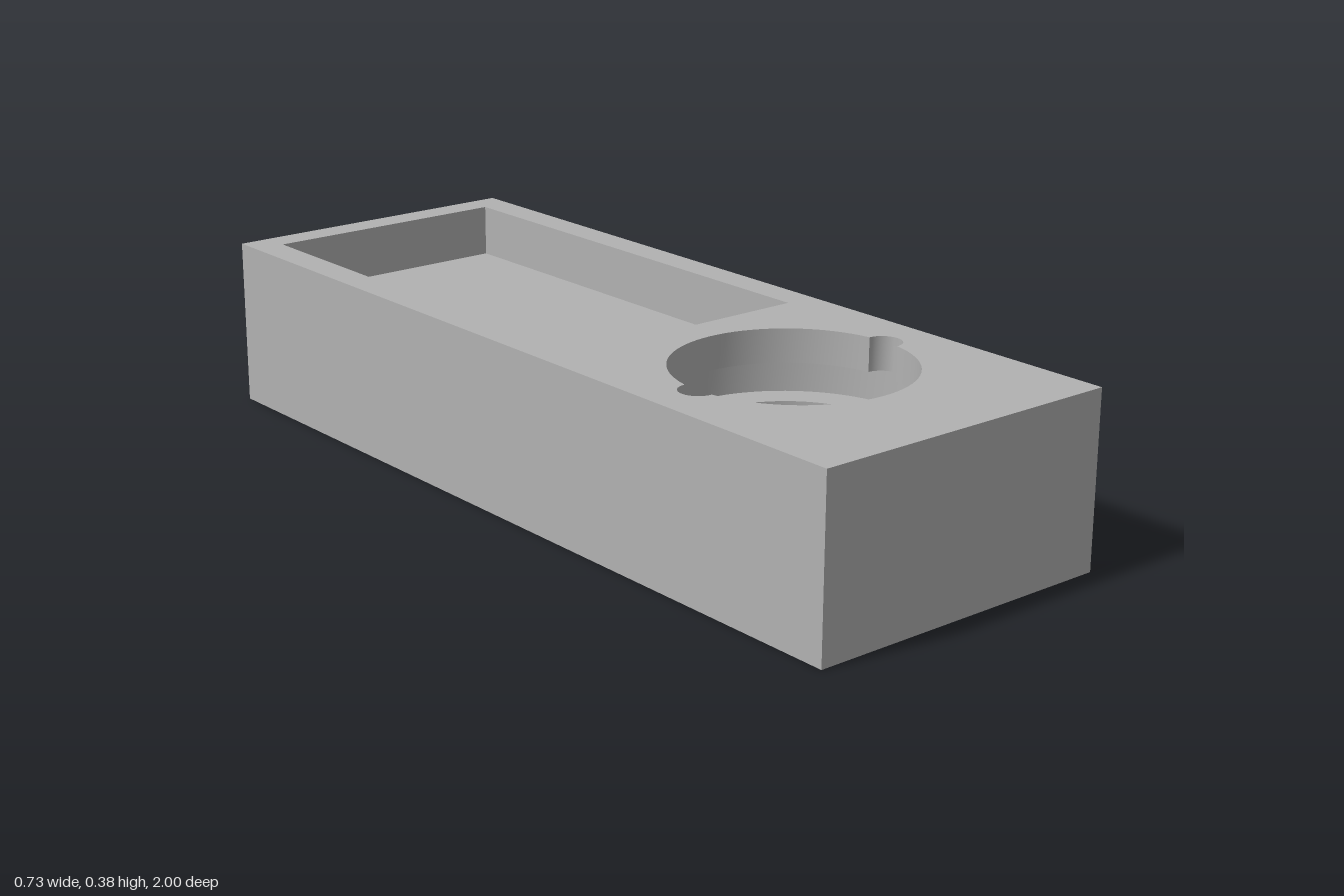
import * as THREE from 'three';
import { mergeGeometries, toCreasedNormals } from 'three/addons/utils/BufferGeometryUtils.js';

// Overall sizes. Plan outlines use (x, s) with s = -z, listed counter-clockwise.
const W = 0.365, L = 1, H = 0.385;
const IN_W = 0.305, IN_L = 0.95;                       // underside cavity
const CEILING = 0.15, LEDGE = 0.235, FLOOR = 0.265, LIP = 0.31;
const HOLE_S = -0.52, R_HOLE = 0.2235, R_LIP = 0.253, R_GROOVE = 0.291, R_TUBE = 0.286;
const VENTS = [0.797, 0.858, 0.918], VENT_W = 0.032, VENT_H = 0.04;

const pts = list => list.map(([x, y]) => new THREE.Vector2(x, y));
const rect = (x0, s0, x1, s1) => pts([[x0, s0], [x1, s0], [x1, s1], [x0, s1]]);
const reversed = p => [...p].reverse();

function circle(r, n = 72) {
  return Array.from({ length: n }, (_, i) => {
    const a = (i / n) * Math.PI * 2;
    return new THREE.Vector2(r * Math.cos(a), HOLE_S + r * Math.sin(a));
  });
}

// Circle with a round notch at each side
function keyhole() {
  const r = 0.04, cx = 0.251;
  const cut = Math.acos((R_LIP * R_LIP + cx * cx - r * r) / (2 * R_LIP * cx));
  const notch = Math.atan2(R_LIP * Math.sin(cut), R_LIP * Math.cos(cut) - cx);
  const out = [];
  for (const turn of [0, Math.PI]) {
    const add = (c, rad, a) => {
      const x = c + rad * Math.cos(a), y = rad * Math.sin(a), k = Math.cos(turn);
      out.push(new THREE.Vector2(x * k, HOLE_S + y * k));
    };
    for (let i = 0; i < 16; i++) add(cx, r, -notch + (2 * notch * i) / 16);
    for (let i = 0; i < 36; i++) add(0, R_LIP, cut + ((Math.PI - 2 * cut) * i) / 36);
  }
  return out;
}

// Reverse the facing of an indexed flat geometry
function flip(g) {
  const a = g.index.array;
  for (let i = 0; i < a.length; i += 3) [a[i], a[i + 1]] = [a[i + 1], a[i]];
  return g;
}

function plate(outline, holes = []) {
  const shape = new THREE.Shape(outline);
  for (const h of holes) shape.holes.push(new THREE.Path(h));
  return new THREE.ShapeGeometry(shape);
}

function finish(g) {
  const plain = g.index ? g.toNonIndexed() : g;
  plain.deleteAttribute('uv');
  plain.deleteAttribute('normal');
  plain.computeVertexNormals();
  return toCreasedNormals(plain, 0.5);
}

// Level face at height y
function cap(y, up, outline, holes) {
  const g = plate(outline, holes);
  return finish((up ? g : flip(g)).rotateX(-Math.PI / 2).translate(0, y, 0));
}

// Upright band along an outline; a reversed outline faces inward
function wall(outline, y0, y1, closed = true) {
  const v = [], n = outline.length;
  for (let i = 0; i < (closed ? n : n - 1); i++) {
    const a = outline[i], b = outline[(i + 1) % n];
    v.push(a.x, y0, -a.y, b.x, y0, -b.y, b.x, y1, -b.y);
    v.push(a.x, y0, -a.y, b.x, y1, -b.y, a.x, y1, -a.y);
  }
  const g = new THREE.BufferGeometry();
  g.setAttribute('position', new THREE.Float32BufferAttribute(v, 3));
  return finish(g);
}

// Upright face at constant x, with vent slots cut from its lower edge
function ventedFace(x, halfLength, top, outward) {
  const p = [[-halfLength, 0]];
  for (const s of VENTS) {
    const e = Math.min(s + VENT_W, halfLength);
    p.push([s, 0], [s, VENT_H], [e, VENT_H], [e, 0]);
  }
  if (halfLength > VENTS[2] + VENT_W + 1e-6) p.push([halfLength, 0]);
  else p.splice(-1, 1);
  p.push([halfLength, top], [-halfLength, top]);
  const g = plate(pts(p));
  return finish((outward ? g : flip(g)).rotateY(Math.PI / 2).translate(x, 0, 0));
}

export function createModel() {
  const model = new THREE.Group();
  model.name = 'trayHousing';
  const grey = new THREE.MeshStandardMaterial({ color: 0xb2b2b2, side: THREE.DoubleSide });
  grey.name = 'plain grey';
  const add = (name, ...parts) => {
    const mesh = new THREE.Mesh(parts.length > 1 ? mergeGeometries(parts) : parts[0], grey);
    mesh.name = name;
    model.add(mesh);
  };

  const body = rect(-W, -L, W, L);
  const pocket = rect(-0.294, -0.185, 0.294, 0.933);
  const cavity = rect(-IN_W, -IN_L, IN_W, IN_L);
  const key = keyhole();

  // Outer shell
  add('topFace', cap(H, true, body, [pocket, key]));
  add('outerWalls',
    wall(pts([[W, L], [-W, L], [-W, -L], [W, -L]]), 0, H, false),
    ventedFace(W, L, H, true));

  // Rectangular tray
  add('trayPocket', wall(reversed(pocket), FLOOR, H), cap(FLOOR, true, pocket));

  // Round socket: notched lip, hidden groove, ledge and through bore
  add('socketLip', wall(reversed(key), LIP, H), cap(LIP, false, circle(R_GROOVE + 0.002), [key]));
  add('socketGroove', wall(reversed(circle(R_GROOVE + 0.002)), LEDGE, LIP));
  add('socketLedge', cap(LEDGE, true, circle(R_GROOVE + 0.002), [circle(R_HOLE)]));
  add('socketBore', wall(reversed(circle(R_HOLE)), 0, LEDGE));

  // Tube reaching down to the base
  add('socketTube', wall(circle(R_TUBE), 0, CEILING), cap(0, false, circle(R_TUBE), [circle(R_HOLE)]));

  // Hollow underside
  add('cavityCeiling', cap(CEILING, false, cavity, [circle(R_TUBE)]));
  add('cavityWalls',
    wall(pts([[IN_W, -IN_L], [-IN_W, -IN_L], [-IN_W, IN_L], [IN_W, IN_L]]), 0, CEILING, false),
    ventedFace(IN_W, IN_L, CEILING, false));

  // Base rim, broken by the vents
  const first = VENTS[0], last = VENTS[2] + VENT_W;
  const rim = pts([[W, last], [W, L], [-W, L], [-W, -L], [W, -L], [W, first], [IN_W, first],
    [IN_W, -IN_L], [-IN_W, -IN_L], [-IN_W, IN_L], [IN_W, IN_L]]);
  const teeth = [0, 1].map(i => cap(0, false, rect(IN_W, VENTS[i] + VENT_W, W, VENTS[i + 1])));
  add('baseRim', cap(0, false, rim), ...teeth);

  // Vent slot sides and tops
  for (const s of VENTS) {
    const e = s + VENT_W;
    add('ventSlot',
      wall(pts([[W, s], [IN_W, s]]), 0, VENT_H, false),
      wall(pts([[IN_W, e], [W, e]]), 0, VENT_H, false),
      cap(VENT_H, false, rect(IN_W, s, W, e)));
  }
  return model;
}
